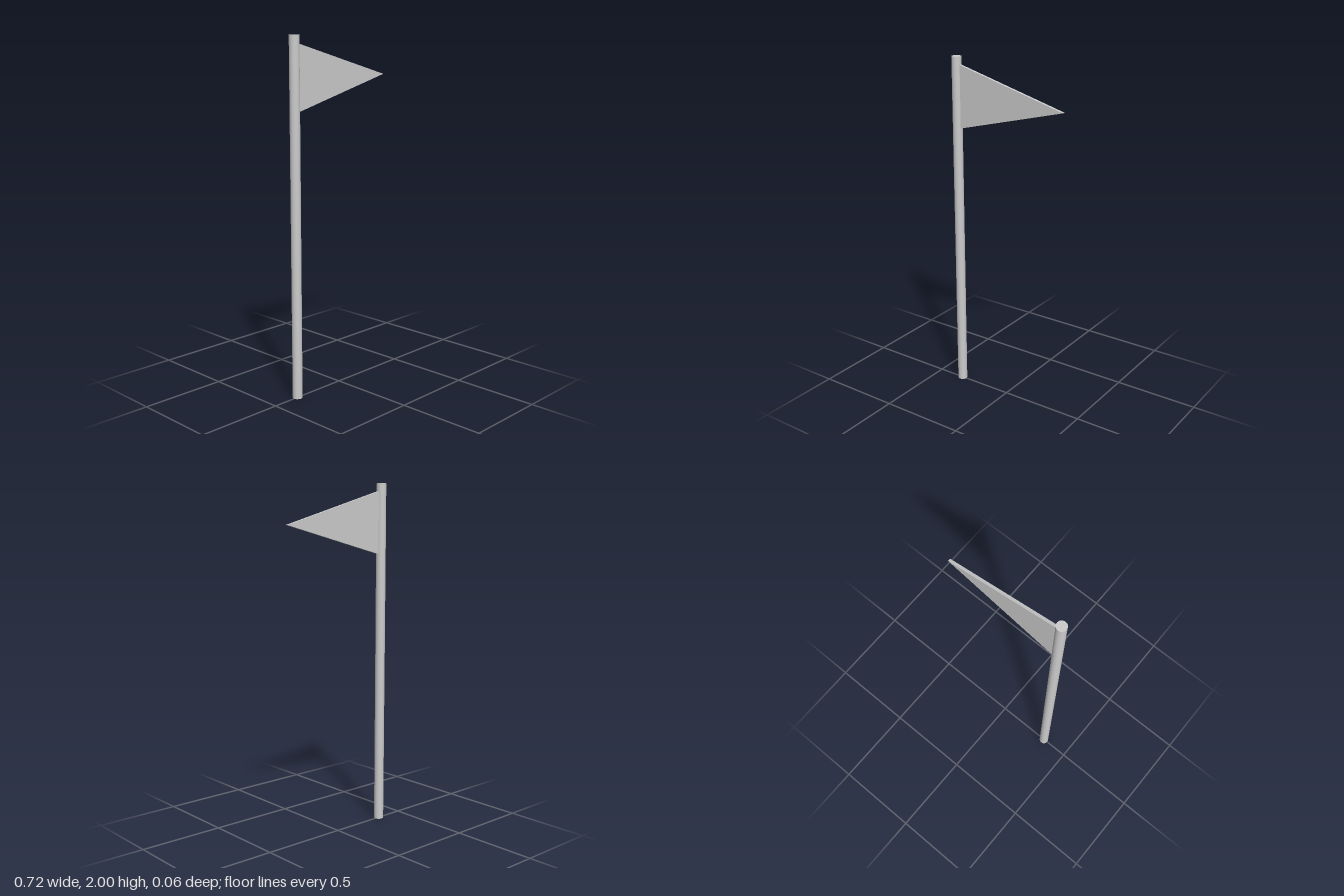
import * as THREE from 'three';

export function createModel() {
  const group = new THREE.Group();
  const material = new THREE.MeshStandardMaterial({ color: 0xcccccc });

  // Upright round pole
  const radius = 0.028, poleX = -0.333;
  const pole = new THREE.Mesh(new THREE.CylinderGeometry(radius, radius, 2, 32), material);
  pole.name = 'pole';
  pole.position.set(poleX, 1, 0);
  group.add(pole);

  // Triangular pennant, a thin slab against the side of the pole
  const thickness = 0.016, hoistX = poleX + radius - 0.001;
  const outline = new THREE.Shape([
    new THREE.Vector2(hoistX, 1.6),
    new THREE.Vector2(0.36, 1.777),
    new THREE.Vector2(hoistX, 1.955),
  ]);
  const pennantGeometry = new THREE.ExtrudeGeometry(outline, { depth: thickness, bevelEnabled: false });
  pennantGeometry.translate(0, 0, -thickness / 2);
  const pennant = new THREE.Mesh(pennantGeometry, material);
  pennant.name = 'pennant';
  group.add(pennant);

  return group;
}
